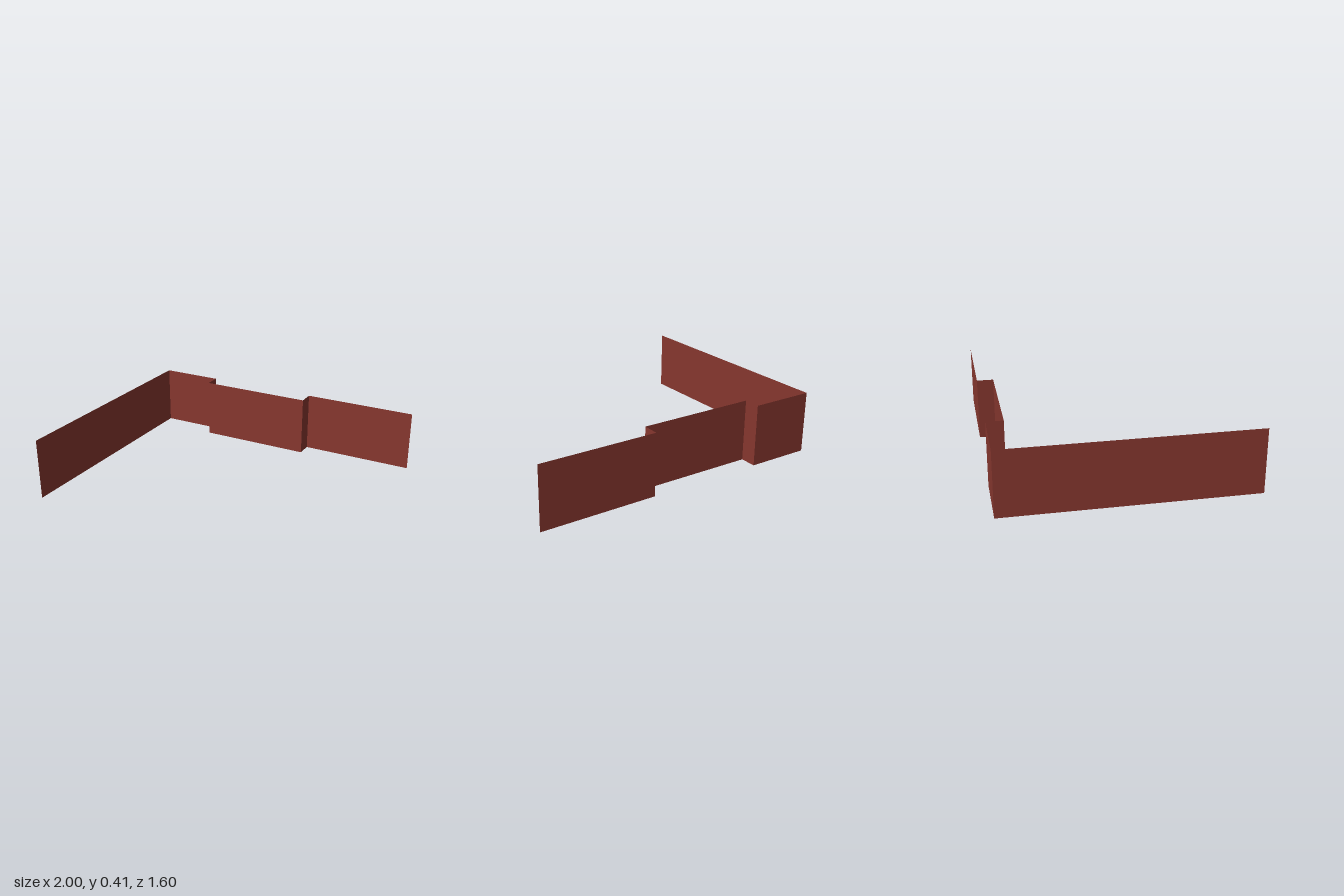
import * as THREE from 'three';

const HEIGHT = 0.415;

// Floor plan of the wall as [x, z] corners, from the front end of the side wall
const PLAN = [
  [-1, 0.8], [-1, -0.8], [-0.57, -0.8], [-0.57, -0.69],
  [0.22, -0.69], [0.22, -0.8], [1, -0.8],
];
const NAMES = [
  'sideWall', 'cornerWall', 'cornerStep', 'middleWall', 'endStep', 'endWall',
];

export function createModel() {
  const group = new THREE.Group();
  group.name = 'steppedWall';
  const brickRed = new THREE.MeshStandardMaterial({ color: 0x87372f });
  brickRed.name = 'brickRed';
  brickRed.side = THREE.DoubleSide;

  // One thin upright panel between each pair of neighbouring corners
  NAMES.forEach((name, i) => {
    const [x0, z0] = PLAN[i];
    const [x1, z1] = PLAN[i + 1];
    const length = Math.hypot(x1 - x0, z1 - z0);
    const panel = new THREE.Mesh(new THREE.PlaneGeometry(length, HEIGHT), brickRed);
    panel.name = name;
    panel.position.set((x0 + x1) / 2, HEIGHT / 2, (z0 + z1) / 2);
    panel.rotation.y = -Math.atan2(z1 - z0, x1 - x0);
    group.add(panel);
  });
  return group;
}
